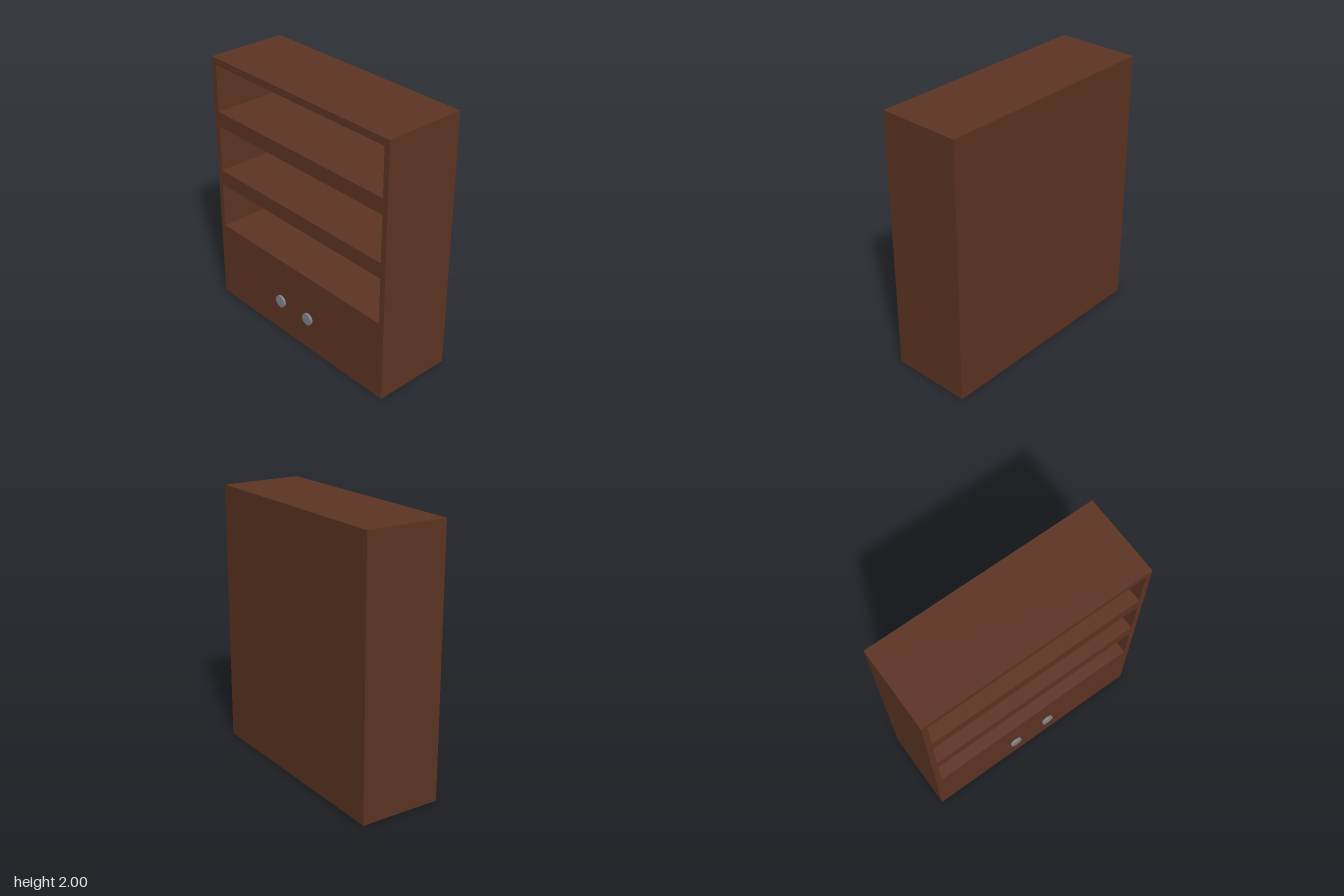
import * as THREE from 'three';

const WOOD = new THREE.MeshStandardMaterial({ color: 0x5c3322 });
WOOD.name = 'darkWood';
const METAL = new THREE.MeshStandardMaterial({ color: 0x7d8488 });
METAL.name = 'knobMetal';

const HALF = 0.887;          // half width along z
const OPEN_X = -0.302;       // plane of the open side
const BACK_X = 0.32;         // outer plane of the back panel
const BACK_T = 0.04;         // back panel thickness
const INNER = 0.843;         // half width of the openings
const DOOR_Y = [0.06, 0.505];
const DOORS = [[-INNER, -0.083], [0.025, INNER]];
const SHELVES = [[0.625, 0.987], [1.105, 1.467], [1.585, 1.947]];

function rectangle(PathType, z0, z1, y0, y1) {
  const p = new PathType();
  p.moveTo(z0, y0);
  p.lineTo(z1, y0);
  p.lineTo(z1, y1);
  p.lineTo(z0, y1);
  p.closePath();
  return p;
}

function addMesh(group, name, geometry, material, x, y, z) {
  const mesh = new THREE.Mesh(geometry, material);
  mesh.name = name;
  mesh.position.set(x, y, z);
  group.add(mesh);
  return mesh;
}

export function createModel() {
  const group = new THREE.Group();
  group.name = 'bookcase';

  // Carcass: side walls, shelves and rails as one frame with openings
  const outline = rectangle(THREE.Shape, -HALF, HALF, 0, 2);
  for (const [y0, y1] of SHELVES) outline.holes.push(rectangle(THREE.Path, -INNER, INNER, y0, y1));
  for (const [z0, z1] of DOORS) outline.holes.push(rectangle(THREE.Path, z0, z1, ...DOOR_Y));
  const frontX = BACK_X - BACK_T;
  const frame = new THREE.ExtrudeGeometry(outline, { depth: frontX - OPEN_X, bevelEnabled: false });
  frame.rotateY(-Math.PI / 2);
  addMesh(group, 'carcass', frame, WOOD, frontX, 0, 0);

  // Back panel
  addMesh(group, 'backPanel', new THREE.BoxGeometry(BACK_T, 2, HALF * 2), WOOD, BACK_X - BACK_T / 2, 1, 0);

  // Flush cupboard doors
  const doorT = 0.03;
  DOORS.forEach(([z0, z1], i) => {
    const door = new THREE.BoxGeometry(doorT, DOOR_Y[1] - DOOR_Y[0], z1 - z0);
    addMesh(group, 'door' + (i + 1), door, WOOD, OPEN_X + doorT / 2, (DOOR_Y[0] + DOOR_Y[1]) / 2, (z0 + z1) / 2);
  });

  // Round knobs
  [-0.177, 0.123].forEach((z, i) => {
    const knob = new THREE.CylinderGeometry(0.047, 0.047, 0.028, 32);
    knob.rotateZ(Math.PI / 2);
    addMesh(group, 'knob' + (i + 1), knob, METAL, -0.306, 0.268, z);
  });

  return group;
}
